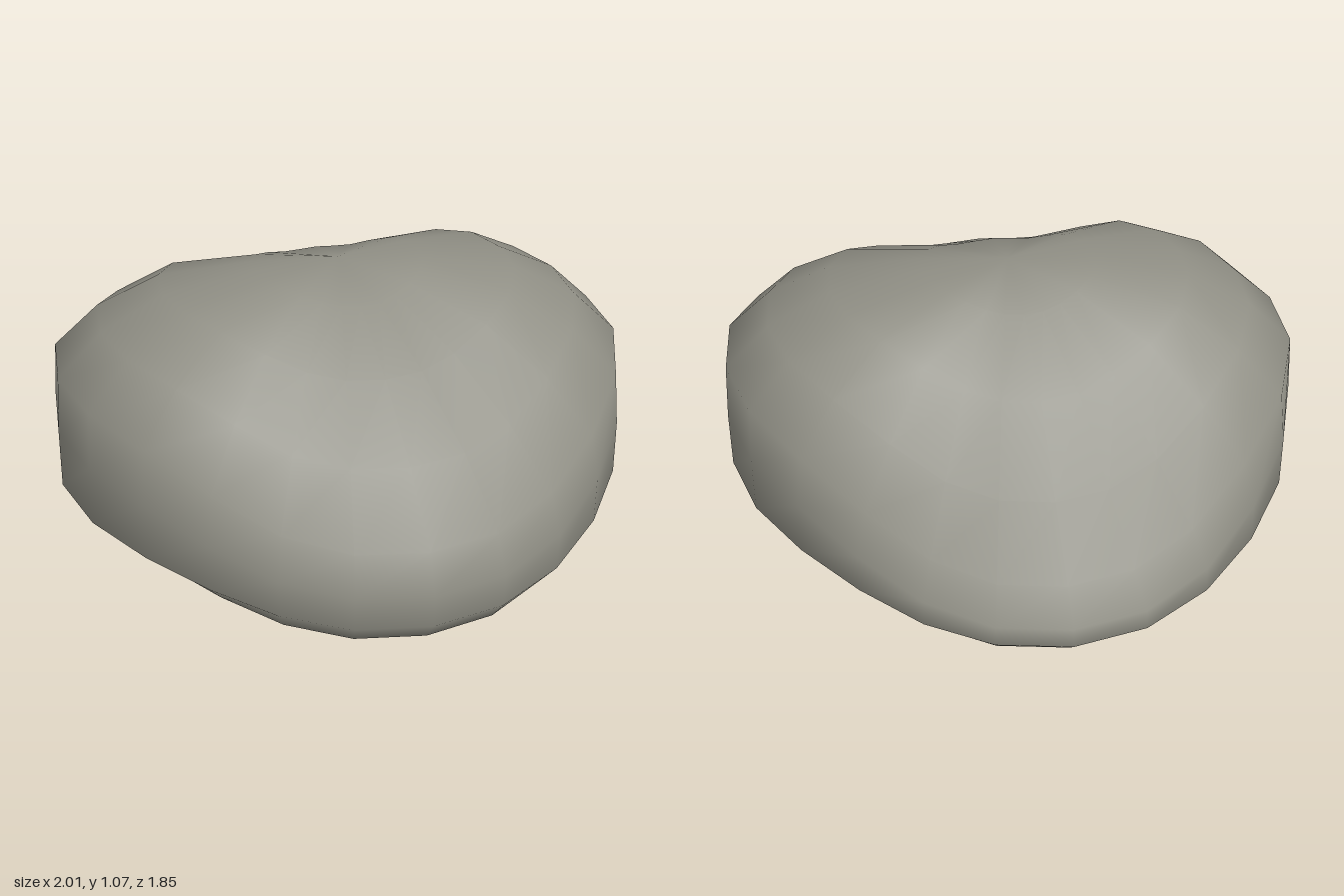
import * as THREE from 'three';

// Half profiles [radius, height] from the underside to the crown:
// RIDGE runs along the raised diagonal, FRONT and BACK down the two low corners.
const RIDGE = [[0, 0], [0.35, 0.05], [0.7, 0.16], [0.94, 0.25], [1.03, 0.33], [1.02, 0.55],
  [1.0, 0.76], [0.84, 0.91], [0.62, 1.02], [0.3, 1.06], [0, 1.07]];
const FRONT = [[0, 0], [0.4, 0.02], [0.74, 0.05], [0.93, 0.12], [0.98, 0.2], [0.98, 0.32],
  [0.93, 0.46], [0.74, 0.66], [0.5, 0.85], [0.25, 1.0], [0, 1.07]];
const BACK = [[0, 0], [0.4, 0.02], [0.74, 0.05], [0.94, 0.12], [0.99, 0.18], [0.98, 0.25],
  [0.89, 0.36], [0.71, 0.57], [0.5, 0.82], [0.25, 1.0], [0, 1.07]];
const SIDES = 24;

// Surface point on a given ring and angle
function surfacePoint(ring, angle) {
  const slope = Math.cos(angle - Math.PI / 4) > 0 ? FRONT : BACK;
  const w = THREE.MathUtils.smoothstep(Math.cos(angle + Math.PI / 4) ** 2, 0, 1);
  const r = THREE.MathUtils.lerp(slope[ring][0], RIDGE[ring][0], w);
  const y = THREE.MathUtils.lerp(slope[ring][1], RIDGE[ring][1], w);
  const c = Math.cos(2 * angle);
  const f = 1 - 0.04 * c * c + 0.04 * c; // squarish plan, a little wider than deep
  return [r * f * Math.cos(angle), y, r * f * Math.sin(angle)];
}

function boulderGeometry() {
  const last = RIDGE.length - 1;
  const positions = [0, 0, 0];
  const index = [];
  for (let ring = 1; ring < last; ring++) {
    for (let s = 0; s < SIDES; s++) {
      positions.push(...surfacePoint(ring, (s / SIDES) * Math.PI * 2));
    }
  }
  positions.push(...surfacePoint(last, 0));
  const crown = positions.length / 3 - 1;
  const id = (ring, s) => 1 + (ring - 1) * SIDES + (s % SIDES);
  for (let s = 0; s < SIDES; s++) {
    index.push(0, id(1, s), id(1, s + 1));
    for (let ring = 1; ring < last - 1; ring++) {
      const a = id(ring, s), b = id(ring, s + 1), c = id(ring + 1, s), d = id(ring + 1, s + 1);
      index.push(a, c, b, b, c, d);
    }
    index.push(crown, id(last - 1, s + 1), id(last - 1, s));
  }
  const geometry = new THREE.BufferGeometry();
  geometry.setAttribute('position', new THREE.Float32BufferAttribute(positions, 3));
  geometry.setIndex(index);
  geometry.computeVertexNormals();
  return geometry;
}

export function createModel() {
  const stone = new THREE.MeshStandardMaterial({ color: 0x8f8e84 });
  stone.name = 'stone grey';
  const boulder = new THREE.Mesh(boulderGeometry(), stone);
  boulder.name = 'boulder';
  const model = new THREE.Group();
  model.name = 'rock';
  model.add(boulder);
  return model;
}
